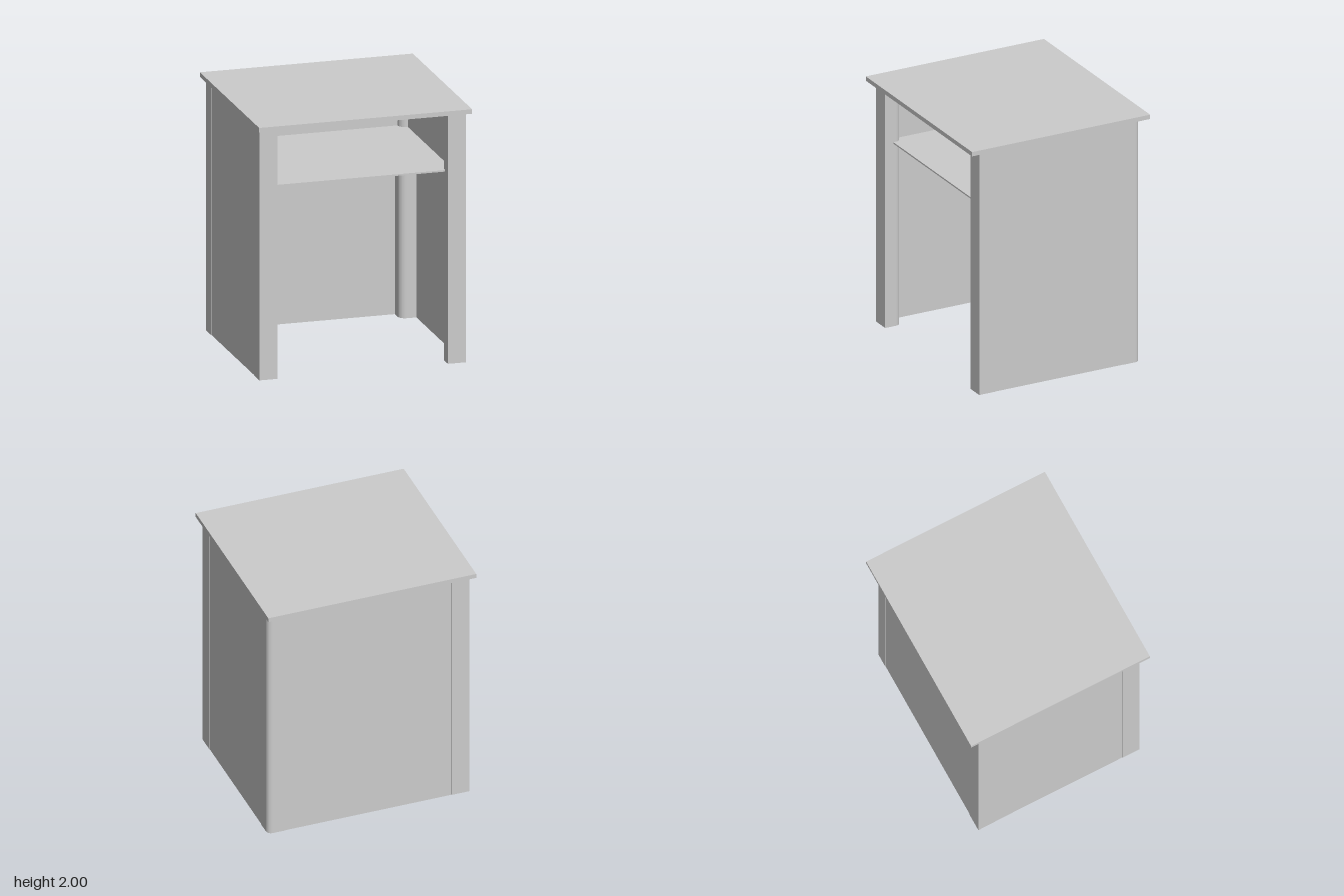
import * as THREE from 'three';

const HEIGHT = 1.965; // underside of the table top
const OX = 0.81, OZ = 0.685, LEG = 0.142;

export function createModel() {
  const model = new THREE.Group();
  const material = new THREE.MeshStandardMaterial({ color: 0xcccccc });

  const add = (name, geometry, x = 0, y = 0, z = 0) => {
    const mesh = new THREE.Mesh(geometry, material);
    mesh.name = name;
    mesh.position.set(x, y, z);
    model.add(mesh);
  };
  // Box given by its limits on each axis
  const box = (name, x0, x1, y0, y1, z0, z1) =>
    add(name, new THREE.BoxGeometry(x1 - x0, y1 - y0, z1 - z0),
      (x0 + x1) / 2, (y0 + y1) / 2, (z0 + z1) / 2);

  // Upright post, rounded on its inner corner and optionally on its outer one
  const leg = (name, sx, sz, outerRadius) => {
    const h = LEG / 2, r = 0.055, o = outerRadius;
    const flip = sx * sz;
    // In the plan, (h, h) is the outer corner
    const plan = new THREE.Shape();
    plan.moveTo(h, -h);
    plan.lineTo(h, h - o);
    if (o) plan.absarc(h - o, h - o, o, 0, Math.PI / 2, false);
    plan.lineTo(-h, h);
    plan.lineTo(-h, -h + r);
    plan.absarc(-h + r, -h + r, r, Math.PI, Math.PI * 1.5, false);
    plan.closePath();
    const geometry = new THREE.ExtrudeGeometry(plan, { depth: HEIGHT, bevelEnabled: false, curveSegments: 8 });
    geometry.rotateX(-Math.PI / 2); // the outer corner now points to +x, -z
    const turn = flip < 0 ? (sx > 0 ? 0 : Math.PI) : (sx > 0 ? -Math.PI / 2 : Math.PI / 2);
    geometry.rotateY(turn);
    add(name, geometry, sx * (OX - h), 0, sz * (OZ - h));
  };
  leg('frontLeftLeg', 1, 1, 0);
  leg('frontRightLeg', -1, 1, 0);
  leg('backLeftLeg', 1, -1, 0.04);
  leg('backRightLeg', -1, -1, 0);

  // Thin outer panels on three sides, the front stays open
  const t = 0.01, gap = 0.003;
  const px = OX - gap, pz = OZ - gap;
  const ix = OX - LEG, iz = OZ - LEG;
  box('leftPanel', px - t, px, 0, HEIGHT, -iz, iz);
  box('rightPanel', -px, -px + t, 0, HEIGHT, -iz, iz);
  box('backPanel', -ix, ix, 0, HEIGHT, -pz, -pz + t);

  // Open compartment under the top, reaching to the middle of the legs
  const cx = 0.74, cz = 0.615, low = 1.485, high = 1.96;
  box('shelf', -cx, cx, low, low + 0.012, -cz, cz);
  box('compartmentTop', -cx, cx, high - 0.015, high, -cz, cz);
  box('compartmentBack', -cx, cx, low, high, -cz, -cz + t);
  box('compartmentLeftSide', cx - t, cx, low, high, -cz, cz);
  box('compartmentRightSide', -cx, -cx + t, low, high, -cz, cz);

  // Overhanging table top
  box('tableTop', -0.835, 0.835, HEIGHT, 2, -0.76, 0.76);

  return model;
}
